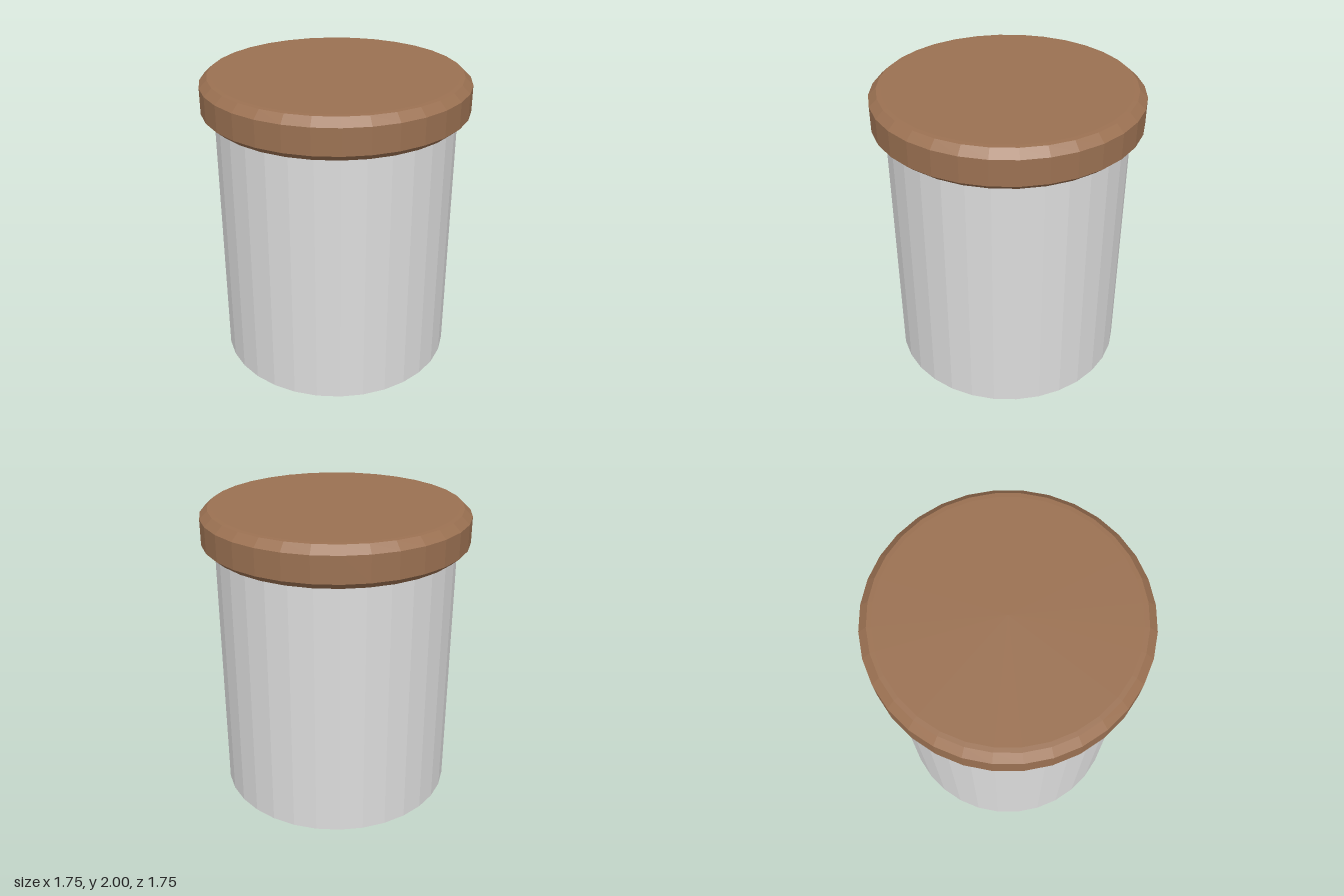
import * as THREE from 'three';

const SIDES = 32;

// Give every facet its own normal
function faceted(geometry) {
  const g = geometry.toNonIndexed();
  g.computeVertexNormals();
  return g;
}

export function createModel() {
  const wood = new THREE.MeshStandardMaterial({ color: 0x9b7152 });
  wood.name = 'brown';
  const glass = new THREE.MeshStandardMaterial({ color: 0xdcdcdc });
  glass.name = 'light grey';

  const model = new THREE.Group();
  model.name = 'jar';

  // Straight faceted wall with a brown base, its top tucked into the lid
  const body = new THREE.Mesh(
    faceted(new THREE.CylinderGeometry(0.793, 0.793, 1.76, SIDES)),
    [glass, wood, wood]
  );
  body.position.y = 0.88;
  body.name = 'jarBody';
  model.add(body);

  // Overhanging lid with bevelled rims
  const profile = [
    [0, 1.735], [0.825, 1.735], [0.877, 1.78], [0.877, 1.95],
    [0.825, 1.998], [0.795, 2], [0, 2],
  ].map(([r, y]) => new THREE.Vector2(r, y));
  const lid = new THREE.Mesh(faceted(new THREE.LatheGeometry(profile, SIDES)), wood);
  lid.name = 'lid';
  model.add(lid);

  return model;
}
